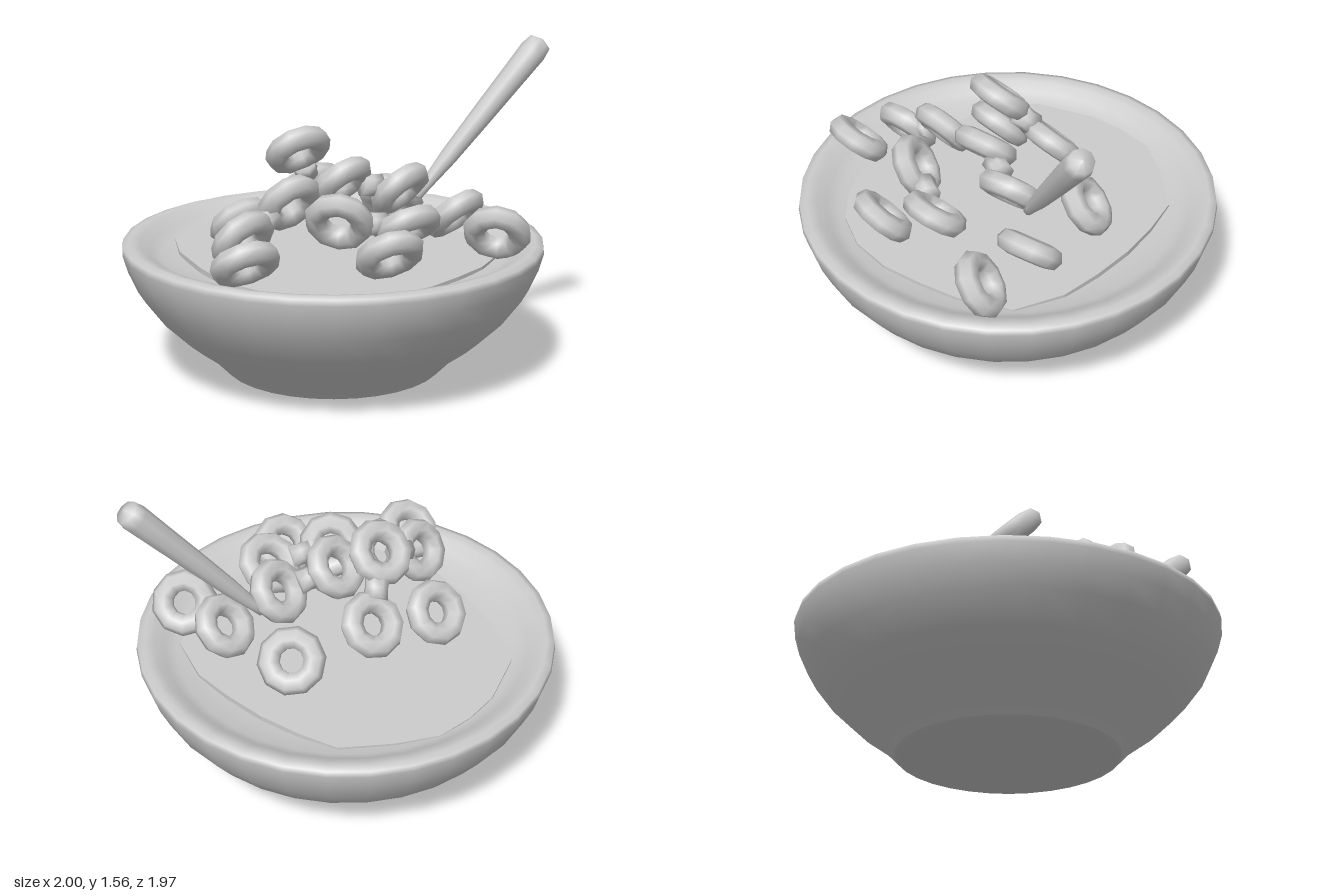
import * as THREE from 'three';

const V = (a) => new THREE.Vector3(...a);

export function createModel() {
  const group = new THREE.Group();
  const clay = new THREE.MeshStandardMaterial({ color: 0xcccccc });
  clay.name = 'light grey';

  const add = (name, geometry) => {
    const mesh = new THREE.Mesh(geometry, clay);
    mesh.name = name;
    group.add(mesh);
    return mesh;
  };

  // Tapered turned piece running between two points
  const rod = (name, from, to, profile, sides) => {
    const a = V(from), dir = V(to).sub(a), length = dir.length();
    const points = profile.map(([r, t]) => new THREE.Vector2(r, t * length));
    const mesh = add(name, new THREE.LatheGeometry(points, sides));
    mesh.position.copy(a);
    mesh.quaternion.setFromUnitVectors(new THREE.Vector3(0, 1, 0), dir.normalize());
  };

  // Bowl: foot, curved outer wall, broad rounded rim and shelving inside
  const foot = [[0, 0.005], [0.46, 0.01], [0.51, 0.028]];
  const wall = [[0.51, 0.028], [0.595, 0.115], [0.71, 0.2], [0.825, 0.31], [0.915, 0.43], [0.96, 0.53],
    [0.983, 0.61], [0.978, 0.638], [0.945, 0.648], [0.9, 0.638], [0.855, 0.605], [0.8, 0.58],
    [0.7, 0.562], [0.6, 0.55], [0, 0.5]];
  for (const [name, profile] of [['bowlFoot', foot], ['bowlWall', wall]]) {
    const points = profile.map(([r, y]) => new THREE.Vector2(r, y));
    add(name, new THREE.LatheGeometry(points, 32)).position.set(-0.018, 0, -0.003);
  }

  // Milk: irregular pool, outline given as x, z
  const outline = [[-0.06, -0.8], [0.14, -0.75], [0.38, -0.65], [0.49, -0.48], [0.58, -0.3], [0.65, -0.1],
    [0.7, 0.1], [0.68, 0.35], [0.49, 0.53], [0.32, 0.63], [0.14, 0.72], [-0.06, 0.76], [-0.26, 0.73],
    [-0.42, 0.64], [-0.56, 0.5], [-0.66, 0.32], [-0.69, 0.05], [-0.69, -0.25], [-0.63, -0.5],
    [-0.4, -0.69], [-0.24, -0.76]];
  const pool = new THREE.Shape(outline.map(([x, z]) => new THREE.Vector2(x, -z)));
  const milk = new THREE.ExtrudeGeometry(pool, { depth: 0.04, bevelEnabled: false });
  milk.rotateX(-Math.PI / 2);
  add('milk', milk).position.y = 0.543;

  // Cereal rings: centre, then direction of the hole
  const rings = [
    [[-0.41, 0.715, -0.17], [-0.15, 0.65, -0.7]],
    [[-0.025, 0.835, -0.24], [-0.1, 0.68, -0.7]],
    [[-0.175, 1.065, -0.045], [-0.1, 0.72, -0.68]],
    [[0.37, 0.75, -0.2], [0.45, 0.65, -0.62]],
    [[-0.56, 0.755, 0.25], [-0.3, 0.55, -0.75]],
    [[-0.31, 0.88, 0.18], [-0.2, 0.55, -0.75]],
    [[-0.025, 0.935, 0.11], [-0.3, 0.7, -0.65]],
    [[0.26, 0.88, 0.135], [-0.35, 0.65, -0.65]],
    [[0.52, 0.745, 0.18], [-0.3, 0.7, -0.6]],
    [[0.595, 0.715, 0.465], [0.5, 0.6, -0.7]],
    [[-0.16, 0.83, 0.4], [0.5, 0.55, -0.7]],
    [[0.145, 0.79, 0.46], [-0.1, 0.78, -0.6]],
    [[-0.025, 0.725, 0.64], [0, 0.7, -0.7]],
    [[-0.635, 0.71, 0.48], [-0.05, 0.76, -0.65]],
  ];
  const ringGeometry = new THREE.TorusGeometry(0.106, 0.054, 7, 10);
  for (const [centre, normal] of rings) {
    const ring = add('cerealRing', ringGeometry);
    ring.position.set(...centre);
    ring.quaternion.setFromUnitVectors(new THREE.Vector3(0, 0, 1), V(normal).normalize());
  }

  // Necks where neighbouring rings stick together
  for (const [i, j] of [[1, 2], [4, 5], [6, 7], [10, 11]]) {
    const a = V(rings[i][0]), b = V(rings[j][0]);
    const from = a.clone().lerp(b, 0.34).toArray(), to = a.clone().lerp(b, 0.66).toArray();
    rod('ringNeck', from, to, [[0, 0], [0.06, 0.02], [0.054, 0.5], [0.06, 0.98], [0, 1]], 8);
  }

  // Spoon handle, thin at the cereal and thick at the rounded top
  rod('spoonHandle', [0.36, 0.82, 0.1], [0.965, 1.54, 0.187],
    [[0, 0], [0.024, 0.01], [0.028, 0.08], [0.042, 0.25], [0.052, 0.5], [0.06, 0.75],
      [0.066, 0.92], [0.056, 0.98], [0, 1]], 9);

  return group;
}
